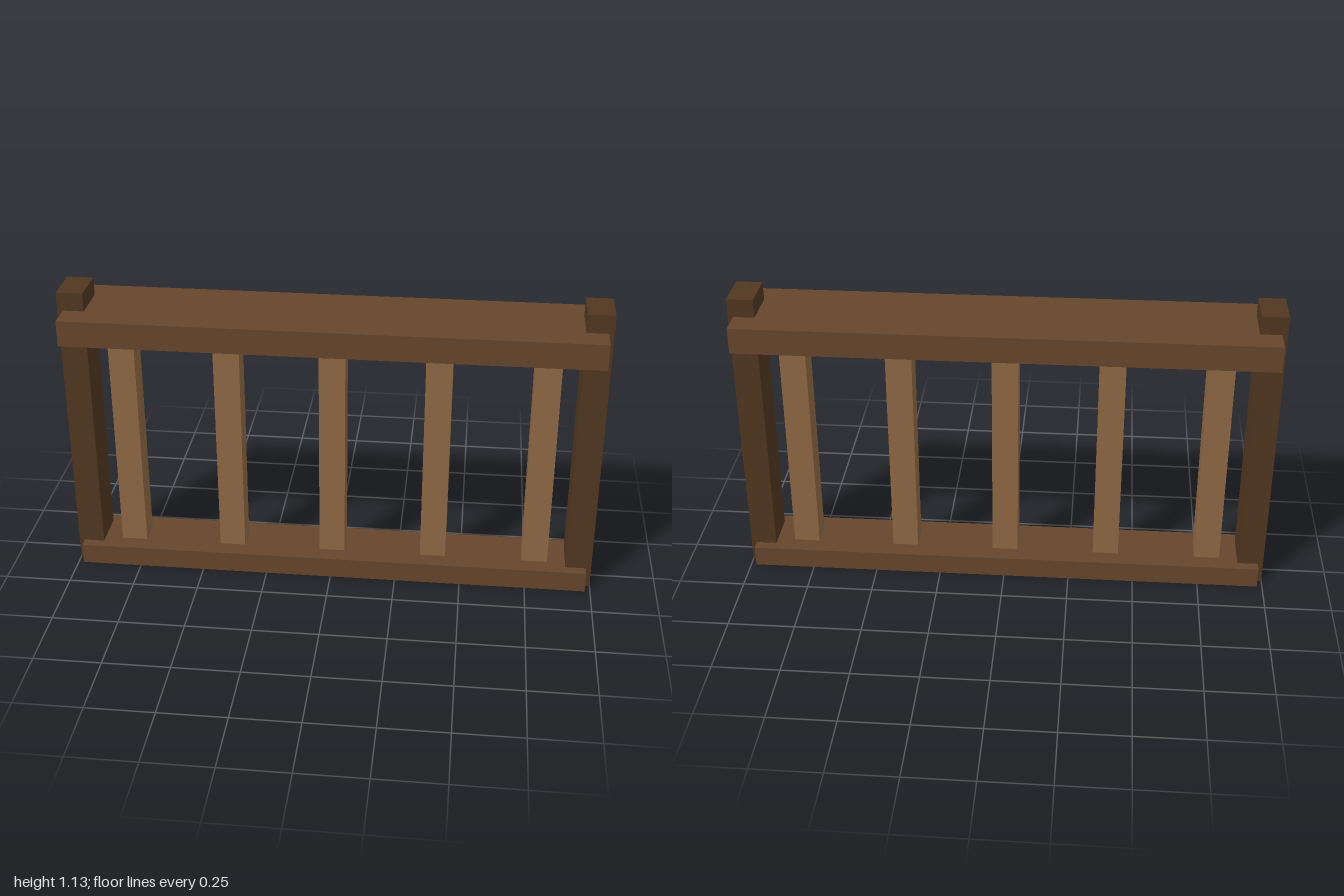
import * as THREE from 'three';

export function createModel() {
  const group = new THREE.Group();
  const postWood = new THREE.MeshStandardMaterial({ color: 0x503720 });
  const railWood = new THREE.MeshStandardMaterial({ color: 0x66452c });
  const balusterWood = new THREE.MeshStandardMaterial({ color: 0x8f6844 });

  // Beam centred on z = 0, spanning y0 to y1
  function beam(name, material, x, y0, y1, width, depth) {
    const mesh = new THREE.Mesh(new THREE.BoxGeometry(width, y1 - y0, depth), material);
    mesh.name = name;
    mesh.position.set(x, (y0 + y1) / 2, 0);
    group.add(mesh);
  }

  // End posts
  beam('leftPost', postWood, 0.951, 0, 1.13, 0.098, 0.157);
  beam('rightPost', postWood, -0.951, 0, 1.13, 0.098, 0.157);

  // Wide handrail and narrower base rail
  beam('handrail', railWood, 0, 0.963, 1.061, 1.96, 0.353);
  beam('baseRail', railWood, 0, 0, 0.08, 1.96, 0.235);

  // Evenly spaced square balusters
  for (let i = -2; i <= 2; i++) {
    beam(`baluster${i + 3}`, balusterWood, i * 0.392, 0.08, 0.963, 0.098, 0.098);
  }

  return group;
}
